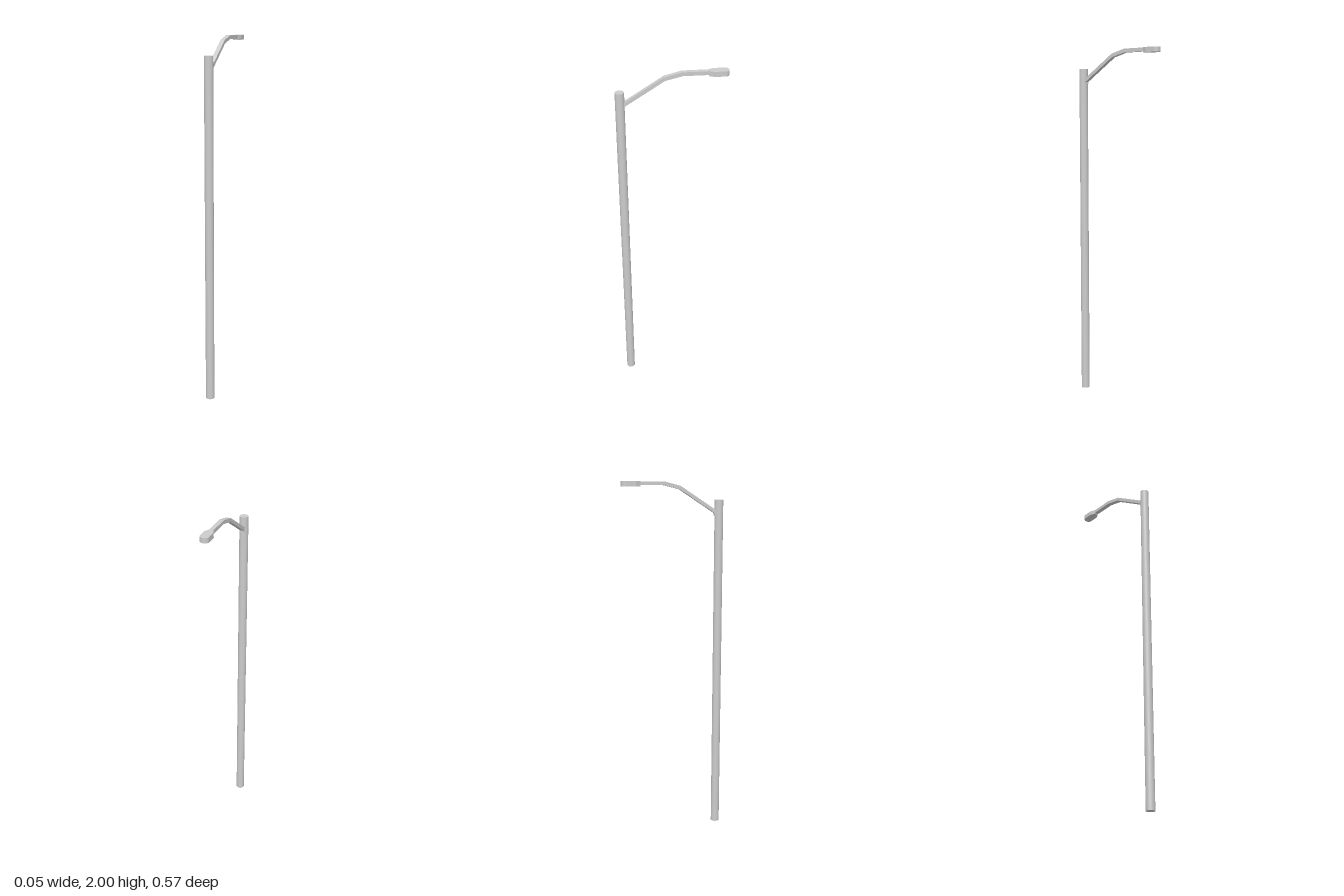
import * as THREE from 'three';

const material = new THREE.MeshStandardMaterial({ color: 0xcccccc, flatShading: true });
const smooth = new THREE.MeshStandardMaterial({ color: 0xcccccc });

function part(group, name, geometry, mat = material) {
  const mesh = new THREE.Mesh(geometry, mat);
  mesh.name = name;
  group.add(mesh);
  return mesh;
}

export function createModel() {
  const group = new THREE.Group();
  group.name = 'streetLight';
  const poleZ = 0.262, poleR = 0.024;

  // Pole: plain straight cylinder with flat caps
  part(group, 'pole', new THREE.CylinderGeometry(poleR, poleR, 1.9, 32), smooth)
    .position.set(0, 0.95, poleZ);

  // Bracket clamping the arm to the pole
  part(group, 'bracket', new THREE.BoxGeometry(0.026, 0.034, 0.015))
    .position.set(0, 1.832, 0.243);

  // Arm: mitred side profile as [-z, y], extruded across x
  const armWidth = 0.024;
  const profile = [
    [-0.244, 1.822], [-0.034, 1.957], [0.055, 1.979], [0.19, 1.979],
    [0.19, 1.999], [0.052, 1.999], [-0.038, 1.976], [-0.244, 1.844],
  ].map(([x, y]) => new THREE.Vector2(x, y));
  const arm = new THREE.ExtrudeGeometry(new THREE.Shape(profile), { depth: armWidth, bevelEnabled: false });
  arm.translate(0, 0, -armWidth / 2).rotateY(Math.PI / 2);
  part(group, 'arm', arm);

  // Lamp head: tapered neck, straight sides, rounded tip; drawn as [x, -z]
  const outline = new THREE.Shape();
  outline.moveTo(-0.012, 0.185);
  outline.lineTo(0.012, 0.185);
  outline.lineTo(0.024, 0.212);
  outline.lineTo(0.024, 0.27);
  outline.absellipse(0, 0.268, 0.024, 0.02, 0, Math.PI, false, 0);
  outline.lineTo(-0.024, 0.212);
  outline.closePath();
  const head = new THREE.ExtrudeGeometry(outline, { depth: 0.027, bevelEnabled: false, curveSegments: 8 });
  head.rotateX(-Math.PI / 2).translate(0, 1.973, 0);
  part(group, 'lampHead', head);

  return group;
}
